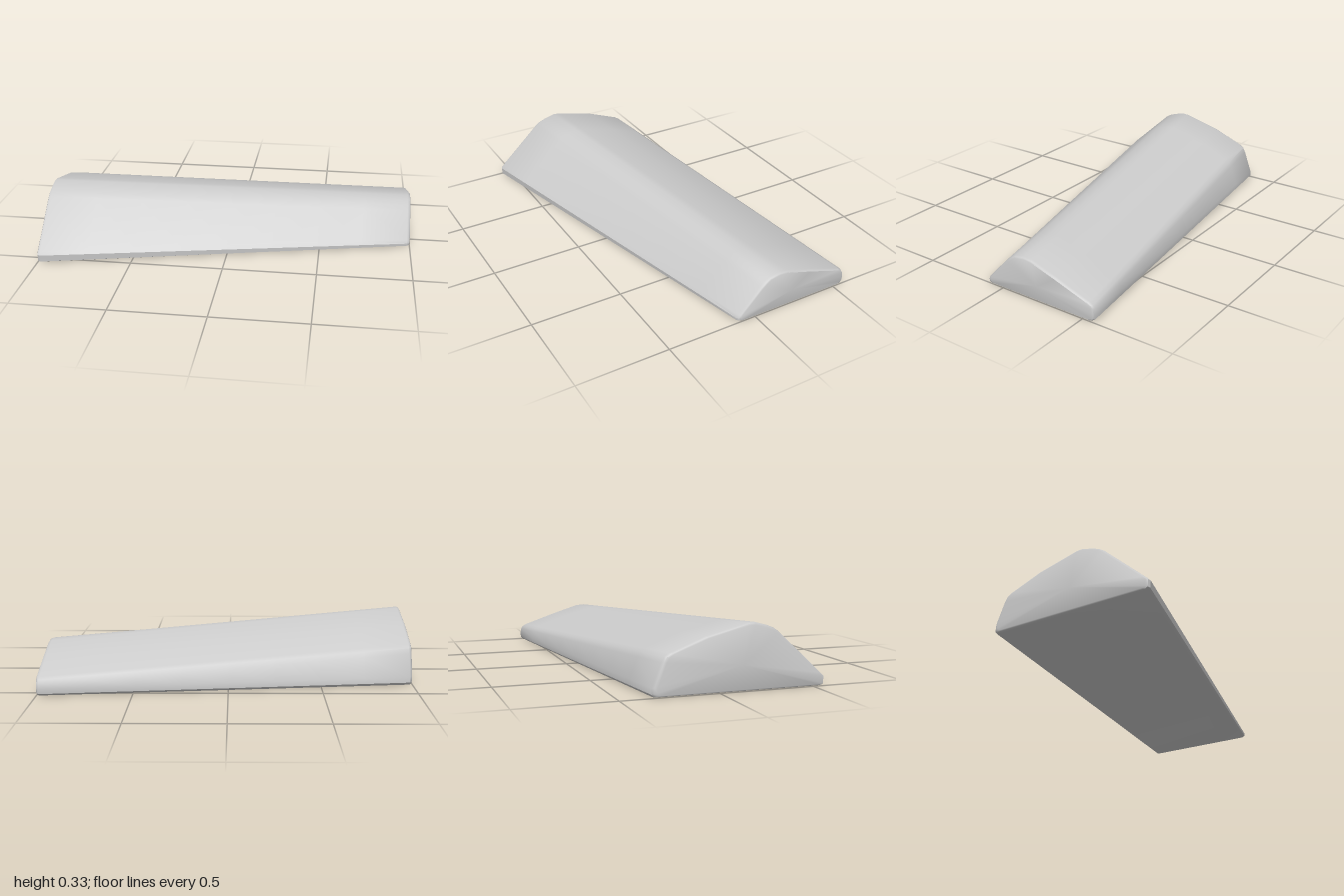
import * as THREE from 'three';
import { toCreasedNormals } from 'three/addons/utils/BufferGeometryUtils.js';

// Matching end profiles as [z, y], from the front foot over the ridge to the back foot
const tallEnd = [
  [0.55, 0], [0.565, 0.008], [0.568, 0.045], [0.55, 0.064], [0.31, 0.285], [0.285, 0.302],
  [0.25, 0.316], [0.185, 0.334], [0.15, 0.332], [-0.07, 0.277], [-0.25, 0.207],
  [-0.275, 0.192], [-0.29, 0.165], [-0.336, 0.045], [-0.338, 0.015], [-0.325, 0],
];
const lowEnd = [
  [0.085, 0], [0.098, 0.006], [0.1, 0.02], [0.09, 0.036], [-0.03, 0.163], [-0.055, 0.185],
  [-0.085, 0.203], [-0.14, 0.213], [-0.19, 0.209], [-0.34, 0.162], [-0.535, 0.096],
  [-0.555, 0.084], [-0.564, 0.068], [-0.57, 0.04], [-0.566, 0.012], [-0.55, 0],
];

// Stations along x with an inset that rounds the end edges
const stations = [[-1, 0.035], [-0.996, 0.014], [-0.984, 0]];
for (let i = 1; i < 8; i++) stations.push([-0.984 + (i / 8) * 1.968, 0]);
stations.push([0.984, 0], [0.996, 0.014], [1, 0.035]);

// Blend the two profiles and pull the ring towards its middle by the inset
function section(x, inset) {
  const t = (x + 1) / 2;
  const middle = [THREE.MathUtils.lerp(0.12, -0.22, t), THREE.MathUtils.lerp(0.13, 0.08, t)];
  return tallEnd.map((p, j) => p.map((v, k) => {
    const blended = THREE.MathUtils.lerp(v, lowEnd[j][k], t);
    return THREE.MathUtils.lerp(blended, middle[k], inset * (k ? 2 : 1.5));
  }));
}

function loft() {
  const positions = [], index = [], n = tallEnd.length;
  for (const [x, inset] of stations)
    for (const [z, y] of section(x, inset)) positions.push(x, y, z);
  const last = stations.length - 1;
  for (let i = 0; i < last; i++)
    for (let j = 0; j < n; j++) {
      const a = i * n + j, b = i * n + (j + 1) % n;
      index.push(a, a + n, b, b, a + n, b + n);
    }
  // End caps
  const centre = positions.length / 3;
  positions.push(-1, 0.13, 0.12, 1, 0.08, -0.22);
  for (let j = 0; j < n; j++) {
    const k = (j + 1) % n;
    index.push(centre, j, k, centre + 1, last * n + k, last * n + j);
  }
  const geometry = new THREE.BufferGeometry();
  geometry.setAttribute('position', new THREE.Float32BufferAttribute(positions, 3));
  geometry.setIndex(index);
  return toCreasedNormals(geometry, 0.7);
}

export function createModel() {
  const group = new THREE.Group();
  group.name = 'taperedWedge';
  const body = new THREE.Mesh(loft(), new THREE.MeshStandardMaterial({ color: 0xcccccc }));
  body.name = 'wedgeBody';
  group.add(body);
  return group;
}
